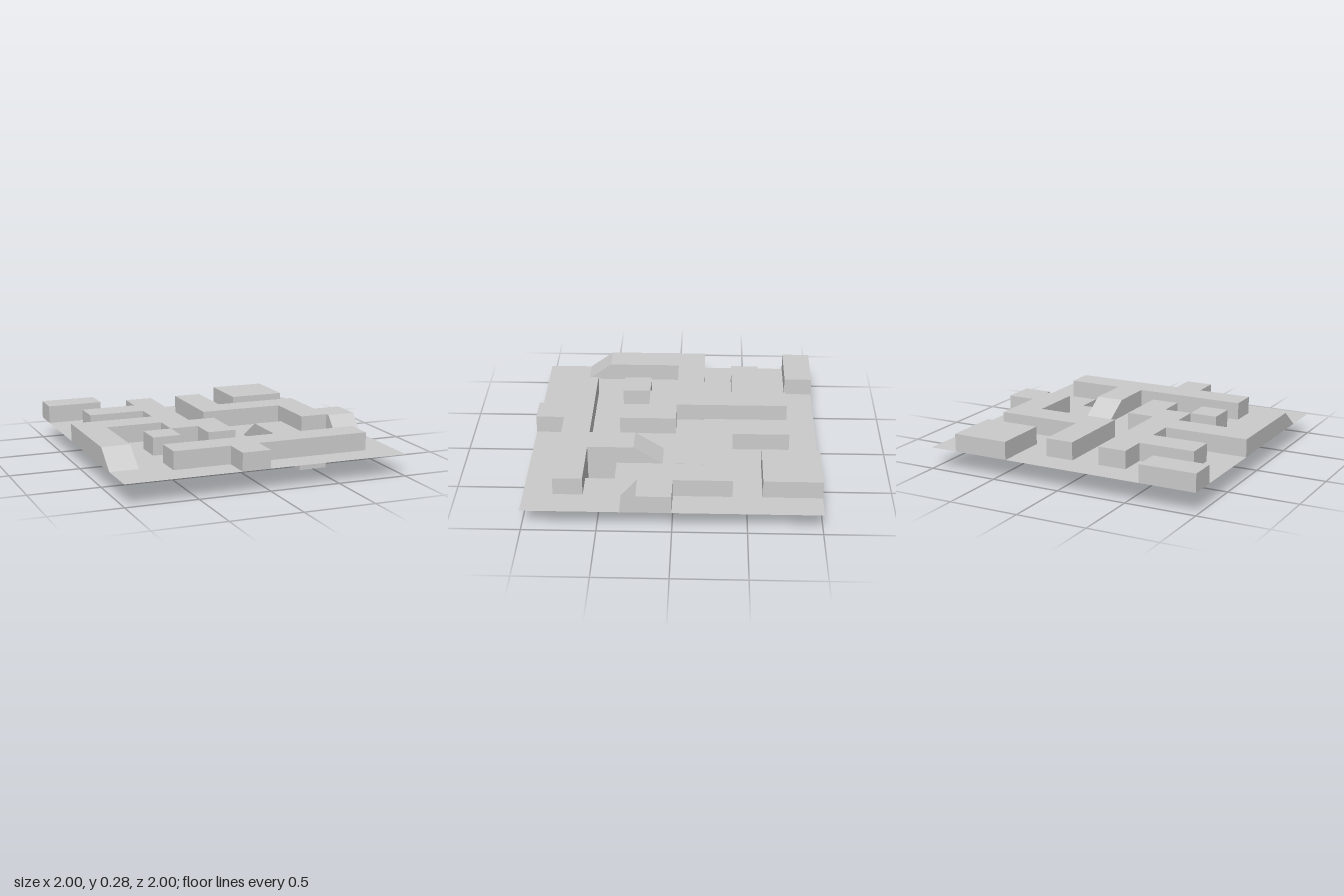
import * as THREE from 'three';

const CELL = 0.2, FLOOR = 0.152, TOP = 0.278;

// Plan of the maze, back row first: '.' floor, 'o' open shaft, letters are walls.
const PLAN = [
  'AA.....BB.',
  '...C.D.BB.',
  '.CCC.D....',
  '...C.DDDD.',
  'CCCC...oD.',
  'C..CC.F.DD',
  'C.E.C.F..D',
  'C.....Fo..',
  'C.FFFFFFF.',
  '....F.....',
];
const NAMES = {
  '.': 'floor', o: 'shafts', A: 'backLeftBlock', B: 'backRightBlock', C: 'leftWall',
  D: 'rightWall', E: 'smallBlock', F: 'frontWall',
};
// Sloping wall ends, keyed by wall letter and column.
const RAMPS = {
  C0: { foot: 0.69, top: 0.52 },
  F6: { foot: 0.08, top: 0.28 },
  D9: { foot: 0.345, top: 0.235 },
};

const round = (v) => Math.round(v * 1000) / 1000;
const lineAt = (i) => round(-1 + i * CELL);

// Strips across z: the grid lines plus the ends of each ramp.
const stops = PLAN.map((_, i) => lineAt(i)).concat(1);
for (const r of Object.values(RAMPS)) stops.push(r.foot, r.top);
const zs = [...new Set(stops)].sort((a, b) => a - b);

const kindAt = (c, s) => {
  if (c < 0 || c > 9 || s < 0 || s > zs.length - 2) return '.';
  return PLAN[Math.floor(((zs[s] + zs[s + 1]) / 2 + 1) / CELL)][c];
};

// Height of the surface in column c, strip s, at depth z.
function heightAt(c, s, z) {
  const kind = kindAt(c, s);
  if (kind === '.' || kind === 'o') return FLOOR;
  const ramp = RAMPS[kind + c];
  if (!ramp) return TOP;
  const t = THREE.MathUtils.clamp((z - ramp.foot) / (ramp.top - ramp.foot), 0, 1);
  return FLOOR + t * (TOP - FLOOR);
}

export function createModel() {
  const model = new THREE.Group();
  const material = new THREE.MeshStandardMaterial({
    color: 0xcccccc, flatShading: true, side: THREE.DoubleSide,
  });
  const parts = {};
  const quad = (kind, a, b, c, d) => (parts[kind] ??= []).push(...a, ...b, ...c, ...a, ...c, ...d);

  for (let c = 0; c < 10; c++) {
    const x0 = lineAt(c), x1 = lineAt(c + 1);
    for (let s = 0; s < zs.length - 1; s++) {
      const z0 = zs[s], z1 = zs[s + 1], kind = kindAt(c, s);
      if (kind === 'o') continue;
      const h0 = heightAt(c, s, z0), h1 = heightAt(c, s, z1);

      // Floor, wall top or slope
      quad(kind, [x0, h0, z0], [x0, h1, z1], [x1, h1, z1], [x1, h0, z0]);
      if (kind === '.') continue;

      // Wall sides down to lower neighbours
      const l0 = heightAt(c - 1, s, z0), l1 = heightAt(c - 1, s, z1);
      if (h0 > l0 || h1 > l1) quad(kind, [x0, l0, z0], [x0, l1, z1], [x0, h1, z1], [x0, h0, z0]);
      const r0 = heightAt(c + 1, s, z0), r1 = heightAt(c + 1, s, z1);
      if (h0 > r0 || h1 > r1) quad(kind, [x1, r1, z1], [x1, r0, z0], [x1, h0, z0], [x1, h1, z1]);

      // Wall ends towards the back and the front
      const b = heightAt(c, s - 1, z0), f = heightAt(c, s + 1, z1);
      if (h0 > b) quad(kind, [x1, b, z0], [x0, b, z0], [x0, h0, z0], [x1, h0, z0]);
      if (h1 > f) quad(kind, [x0, f, z1], [x1, f, z1], [x1, h1, z1], [x0, h1, z1]);
    }
  }

  // Shafts: square tubes below the floor, open at both ends
  PLAN.forEach((row, r) => [...row].forEach((kind, c) => {
    if (kind !== 'o') return;
    const x0 = lineAt(c), x1 = lineAt(c + 1), z0 = lineAt(r), z1 = lineAt(r + 1);
    const ring = [[x0, z0], [x0, z1], [x1, z1], [x1, z0]];
    ring.forEach(([ax, az], i) => {
      const [bx, bz] = ring[(i + 1) % 4];
      quad('o', [ax, 0, az], [bx, 0, bz], [bx, FLOOR, bz], [ax, FLOOR, az]);
    });
  }));

  for (const [kind, positions] of Object.entries(parts)) {
    const geometry = new THREE.BufferGeometry();
    geometry.setAttribute('position', new THREE.Float32BufferAttribute(positions, 3));
    geometry.computeVertexNormals();
    const mesh = new THREE.Mesh(geometry, material);
    mesh.name = NAMES[kind];
    model.add(mesh);
  }
  return model;
}
